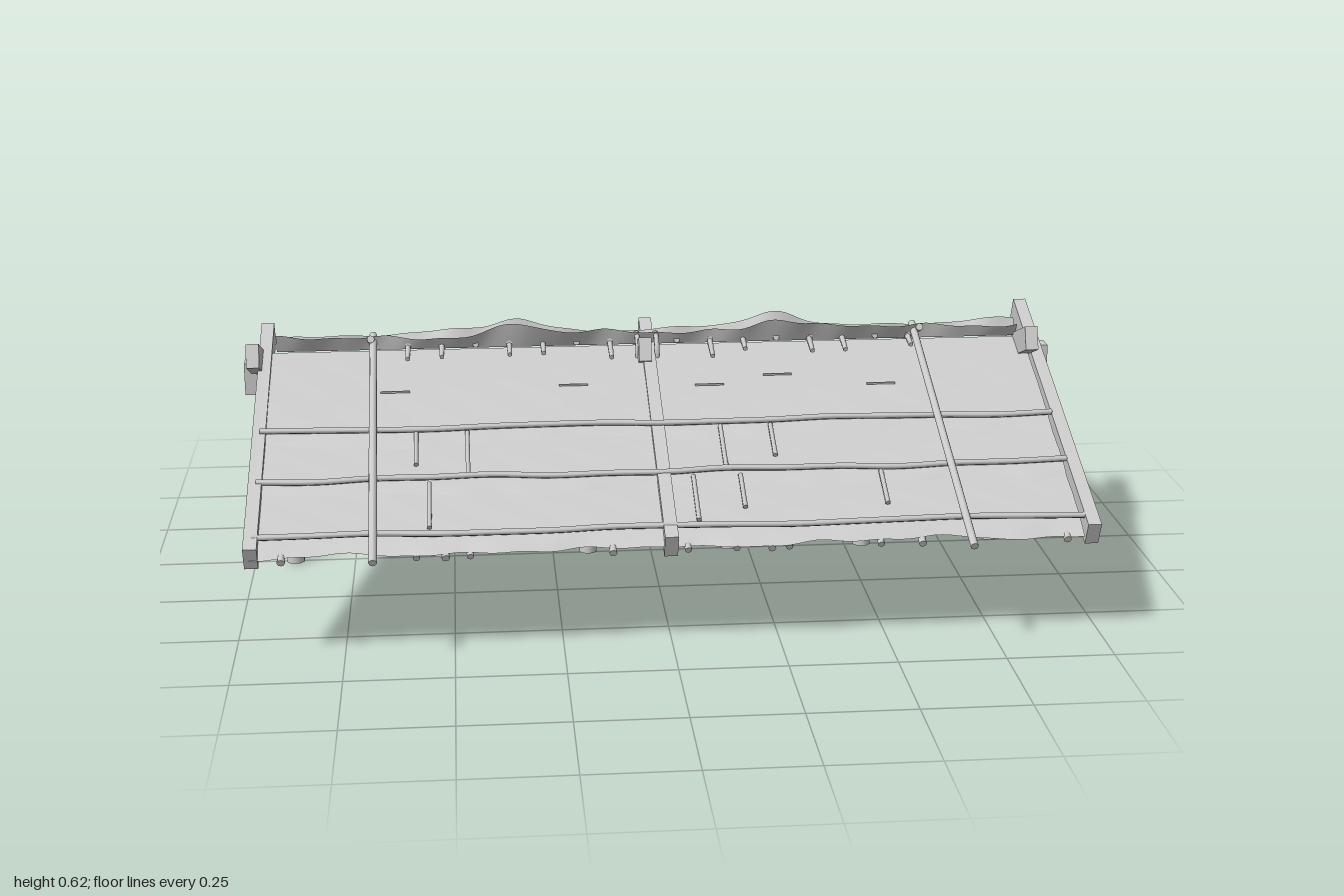
import * as THREE from 'three';

const mat = new THREE.MeshStandardMaterial({ color: 0xcccccc });
const flat = new THREE.MeshStandardMaterial({ color: 0xcccccc, flatShading: true });
const sheetMat = new THREE.MeshStandardMaterial({ color: 0xcccccc, side: THREE.DoubleSide });
const V = (x, y, z) => new THREE.Vector3(x, y, z);

// height of the roof covering at a distance d from the ridge
const roofY = (d) => 0.547 - 0.43 * d;
// gentle irregular wave, between about -1 and 1
const wave = (x, k) => 0.5 * Math.sin(x * 9 + k * 2.3) + 0.3 * Math.sin(x * 23 + k * 5.1) + 0.2 * Math.sin(x * 47 + k);

export function createModel() {
  const root = new THREE.Group();
  const add = (name, geo, m = mat) => {
    const mesh = new THREE.Mesh(geo, m);
    mesh.name = name;
    root.add(mesh);
    return mesh;
  };
  // round stick between two points
  const stick = (name, a, b, r, r2 = r, sides = 8) => {
    const mesh = add(name, new THREE.CylinderGeometry(r2, r, a.distanceTo(b), sides));
    mesh.position.copy(a).add(b).multiplyScalar(0.5);
    mesh.quaternion.setFromUnitVectors(V(0, 1, 0), b.clone().sub(a).normalize());
  };
  // squared timber lying in the plane of a slope
  const timber = (name, a, b, w, h) => {
    const mesh = add(name, new THREE.BoxGeometry(w, h, a.distanceTo(b)), flat);
    mesh.position.copy(a).add(b).multiplyScalar(0.5);
    mesh.rotation.x = -Math.atan2(b.y - a.y, b.z - a.z);
  };

  // ridge beam with squared end blocks
  const ridge = add('ridgeBeam', new THREE.BoxGeometry(1.96, 0.07, 0.042), flat);
  ridge.position.set(0, 0.487, 0);
  for (const s of [-1, 1]) {
    const end = add('ridgeEnd', new THREE.BoxGeometry(0.03, 0.08, 0.048), flat);
    end.position.set(s * 0.985, 0.488, 0);
  }

  // posts, foot and head collars, braces, ties and hidden rafters
  const postX = [-0.9, -0.535, -0.16, 0.2, 0.545, 0.88];
  postX.forEach((x, i) => {
    const z = -0.005 * (i % 3);
    stick('post', V(x, 0.01, z), V(x, 0.46, z), 0.016, 0.015, 12);
    stick('postFoot', V(x, i % 2 ? 0.004 : 0, z), V(x, 0.042, z), 0.023, 0.021, 10);
    stick('postHead', V(x, 0.4, z), V(x, 0.43, z), 0.021, 0.021, 10);
    const tie = add('crossTie', new THREE.BoxGeometry(0.018, 0.016, 0.38), flat);
    tie.position.set(x, 0.432, 0);
    for (const s of [-1, 1]) {
      stick('sideBrace', V(x, 0.265, z), V(x, 0.43, s * 0.18), 0.009);
      stick('rafter', V(x + 0.02, 0.515, 0), V(x + 0.02, roofY(0.66) - 0.013, s * 0.66), 0.009);
      const inside = x + s * 0.2;
      if (Math.abs(inside) < 0.9) stick('longBrace', V(x, 0.16, z), V(inside, 0.455, 0), 0.0085);
    }
  });

  // one wavy layer of covering from d0 to d1 down a slope
  const layer = (s, d0, d1, k, lift) => {
    const nx = 110, nd = 10;
    const geo = new THREE.PlaneGeometry(1, 1, nx, nd);
    const p = geo.attributes.position;
    for (let i = 0; i < p.count; i++) {
      const x = p.getX(i) * 1.89 - 0.006;
      const t = 0.5 - p.getY(i);
      const d = d0 + (d1 - d0) * t + 0.011 * wave(x, k) * t * t;
      const droop = 0.012 * Math.max(0, t - 0.85) / 0.15;
      const y = roofY(d) + lift * t + 0.005 * wave(x * 0.8 + t, k + 4) * t - droop;
      // opposite x direction on the back slope keeps faces outward
      p.setXYZ(i, x * s - (s < 0 ? 0.012 : 0), y, s * d);
    }
    geo.computeVertexNormals();
    add('roofSheet', geo, sheetMat);
  };

  const courses = {
    1: { rows: [0.295, 0.455, 0.625], edges: [0.34, 0.495, 0.655] },
    [-1]: { rows: [0.33, 0.49, 0.645], edges: [0.36, 0.525, 0.69] },
  };
  for (const s of [1, -1]) {
    const { rows, edges } = courses[s];
    layer(s, 0, edges[0], s + 2, 0.012);
    layer(s, rows[0] - 0.03, edges[1], s + 4, 0.01);
    layer(s, rows[1] - 0.03, edges[2], s + 7, 0.006);

    // bent poles holding down each course
    rows.forEach((d, r) => {
      const pts = [];
      for (let i = 0; i <= 14; i++) {
        const x = -0.945 + i * 0.135;
        const dd = d + 0.007 * wave(x, r + s * 3);
        pts.push(V(x, roofY(dd) + 0.019, s * dd));
      }
      add('coursePole', new THREE.TubeGeometry(new THREE.CatmullRomCurve3(pts), 60, 0.0075, 6));
    });

    // short battens between courses
    const battens = s > 0 ? [-0.58, -0.46, 0.03, 0.14, 0.26, 0.47] : [-0.49, -0.29, -0.17, -0.06, 0.44, 0.56];
    battens.forEach((x, i) => {
      for (let r = 0; r < 2; r++) {
        if ((i + r) % 3 === 2) continue;
        const a = rows[r] + 0.01, b = a + 0.1 + 0.035 * ((i + r) % 2);
        const bx = x + r * 0.03;
        stick('batten', V(bx, roofY(a) + 0.014, s * a), V(bx, roofY(b) + 0.013, s * b), 0.006, 0.006, 6);
      }
      // stick tip showing under the eave
      const e = edges[2];
      stick('eaveStub', V(x, roofY(e - 0.1) - 0.012, s * (e - 0.1)), V(x, roofY(e) - 0.014, s * (e + 0.003)), 0.008);
    });

    // long thin poles running past the eave
    const poles = s > 0 ? [[-0.675, 0.715], [0.67, 0.72]] : [[-0.7, 0.73], [0.662, 0.69]];
    for (const [x, d] of poles)
      stick('slopePole', V(x - 0.01 * s, roofY(0) + 0.035, -s * 0.02), V(x, roofY(d) + 0.026, s * d), 0.0095);

    // heavy timbers crossing over the ridge
    const beamX = s > 0 ? [[-0.947, 0.11], [-0.008, 0.1], [0.96, 0.14]] : [[-0.968, 0.13], [-0.02, 0.08], [0.93, 0.13]];
    for (const [x, over] of beamX) {
      const d = s > 0 ? 0.655 : x === -0.02 ? 0.69 : 0.655;
      timber('crossingTimber', V(x, 0.525 + 0.405 * over, -s * over), V(x, 0.525 - 0.405 * d, s * d), 0.031, 0.058);
    }

    // purlin under the covering
    stick('purlin', V(-0.93, 0.45, s * 0.18), V(0.93, 0.45, s * 0.18), 0.01);

    // ragged ridge flap opening outward
    const flap = new THREE.PlaneGeometry(1.84, 1, 120, 3);
    const p = flap.attributes.position;
    for (let i = 0; i < p.count; i++) {
      const x = p.getX(i), t = p.getY(i) + 0.5;
      const peak = Math.exp(-(((x + 0.33) / 0.07) ** 2)) + Math.exp(-(((x - 0.31) / 0.07) ** 2));
      const rise = 0.036 + 0.01 * wave(x, s + 6) + 0.026 * peak;
      p.setXYZ(i, x, 0.55 + t * rise, s * (0.003 + t * (0.016 + 0.012 * wave(x, s + 9))));
    }
    flap.computeVertexNormals();
    add('ridgeFlap', flap, sheetMat);

    // pegs pinning the ridge
    for (let i = 0; i < 16; i++) {
      const x = -0.6 + i * 0.083;
      const d = 0.05 + 0.035 * Math.abs(wave(x, i + s));
      if ((i + s) % 3) stick('ridgePeg', V(x, 0.56, -s * 0.01), V(x, roofY(d) + 0.022, s * d), 0.008, 0.006, 6);
    }

    // small slivers raised from the upper covering
    for (const [x, d] of [[-0.63, 0.16], [-0.2, 0.15], [0.13, 0.16], [0.3, 0.13], [0.55, 0.17]]) {
      const sliver = add('sliver', new THREE.BoxGeometry(0.07, 0.004, 0.006), flat);
      sliver.position.set(x * s, roofY(d) + 0.01, s * d);
    }
  }

  // rope wraps where the middle timbers cross
  for (const x of [-0.035, 0.012]) {
    const wrap = add('ridgeWrap', new THREE.TorusGeometry(0.045, 0.007, 6, 18));
    wrap.rotation.y = Math.PI / 2;
    wrap.position.set(x, 0.53, 0);
  }
  return root;
}
